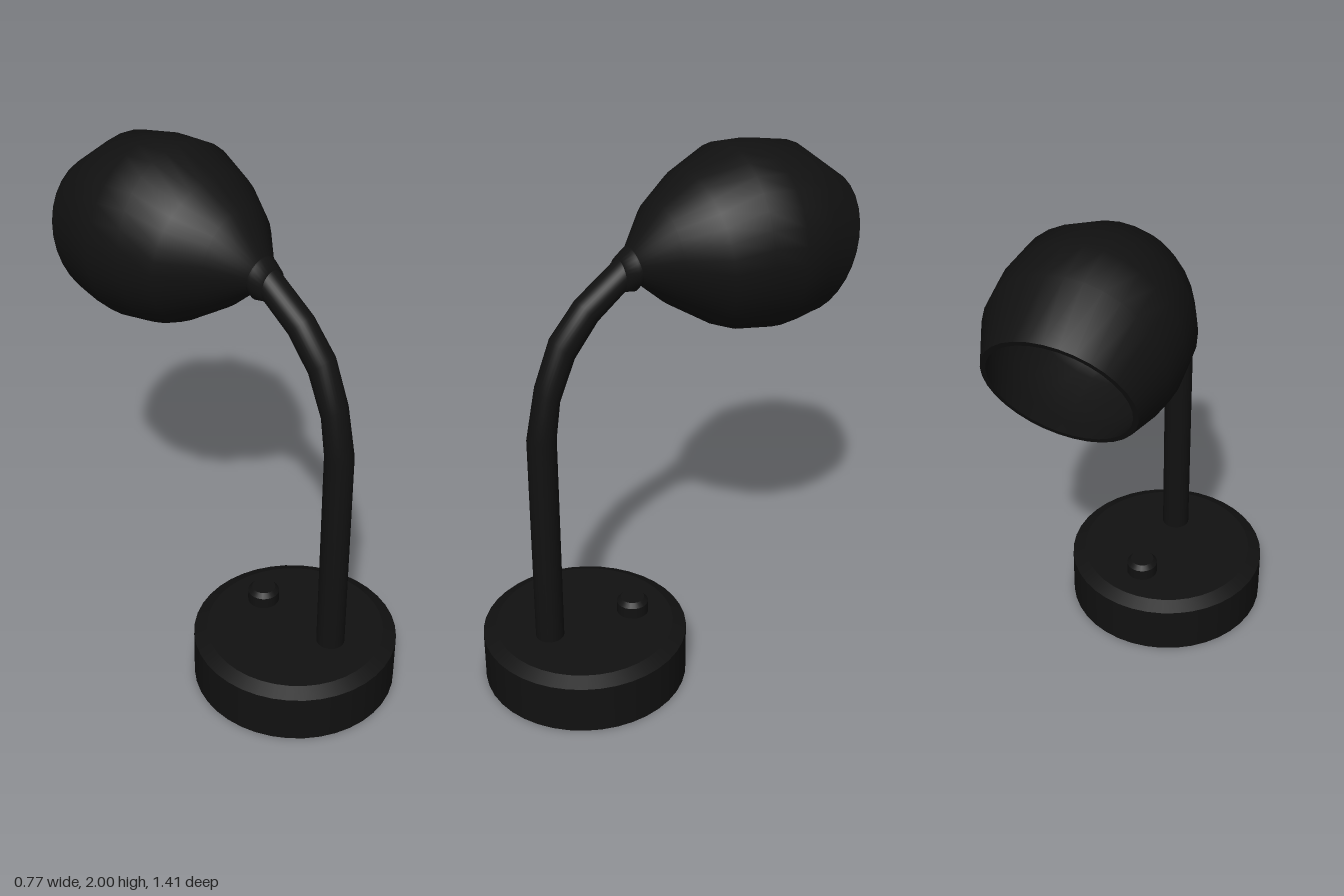
import * as THREE from 'three';

const SEG = 32;
const LAMP_X = 0.02;
const material = new THREE.MeshStandardMaterial({ color: 0x111111, side: THREE.DoubleSide });

// Skin through elliptical rings: [upper z, upper y, lower z, lower y, half width in x]
function loft(name, rings) {
  const pos = [], index = [];
  for (const [z0, y0, z1, y1, w] of rings) {
    for (let j = 0; j < SEG; j++) {
      const a = (j / SEG) * Math.PI * 2, s = Math.sin(a);
      pos.push(
        LAMP_X + Math.cos(a) * w,
        (y0 + y1) / 2 + (s * (y0 - y1)) / 2,
        (z0 + z1) / 2 + (s * (z0 - z1)) / 2
      );
    }
  }
  for (let i = 0; i < rings.length - 1; i++) {
    for (let j = 0; j < SEG; j++) {
      const k = (j + 1) % SEG;
      const a = i * SEG + j, b = i * SEG + k, c = a + SEG, d = b + SEG;
      index.push(a, c, b, b, c, d);
    }
  }
  const geo = new THREE.BufferGeometry();
  geo.setAttribute('position', new THREE.Float32BufferAttribute(pos, 3));
  geo.setIndex(index);
  geo.computeVertexNormals();
  return named(name, geo);
}

function named(name, geo) {
  const mesh = new THREE.Mesh(geo, material);
  mesh.name = name;
  return mesh;
}

// Lathe whose profile corners stay sharp (each straight run has its own points)
function turned(name, profile, x, z, segments) {
  const group = new THREE.Group();
  group.name = name;
  for (let i = 0; i < profile.length - 1; i++) {
    const run = [profile[i], profile[i + 1]].map(([r, y]) => new THREE.Vector2(r, y));
    group.add(named(name + 'Surface', new THREE.LatheGeometry(run, segments)));
  }
  group.position.set(x, 0, z);
  return group;
}

// Shrink a ring about its centre
function shrink([z0, y0, z1, y1, w], f) {
  const cz = (z0 + z1) / 2, cy = (y0 + y1) / 2;
  return [cz + (z0 - cz) * f, cy + (y0 - cy) * f, cz + (z1 - cz) * f, cy + (y1 - cy) * f, w * f];
}

export function createModel() {
  const lamp = new THREE.Group();
  lamp.name = 'deskLamp';

  // Round foot with a bevelled top edge, and its push switch
  lamp.add(turned('base', [[0, 0], [0.385, 0], [0.385, 0.19], [0.335, 0.215], [0, 0.22]], 0, 0.325, 40));
  lamp.add(turned('switchButton', [[0.06, 0.2], [0.06, 0.262], [0.045, 0.28], [0, 0.28]], 0.035, 0.138, 20));

  // Straight post bending forward to the head
  lamp.add(loft('stem', [
    [0.533, 0.2, 0.427, 0.2, 0.053],
    [0.533, 1.06, 0.427, 1.06, 0.053],
    [0.493, 1.26, 0.41, 1.2, 0.053],
    [0.43, 1.43, 0.35, 1.35, 0.053],
    [0.33, 1.55, 0.26, 1.47, 0.053],
    [0.15, 1.685, 0.14, 1.57, 0.055],
  ]));

  // Joint between stem and shade
  lamp.add(loft('collar', [
    [0.16, 1.62, 0.16, 1.62, 0],
    [0.17, 1.675, 0.165, 1.556, 0.06],
    [0.13, 1.705, 0.125, 1.55, 0.075],
    [0.06, 1.71, 0.06, 1.6, 0.06],
  ]));

  // Bulbous shade, cut at a slant by its opening
  const rings = [
    [0.115, 1.635, 0.115, 1.635, 0],
    [0.13, 1.7, 0.1, 1.57, 0.07],
    [0.02, 1.845, 0, 1.48, 0.18],
    [-0.1, 1.93, -0.16, 1.375, 0.275],
    [-0.26, 2, -0.22, 1.35, 0.325],
    [-0.38, 1.995, -0.37, 1.325, 0.335],
    [-0.53, 1.965, -0.44, 1.332, 0.32],
    [-0.705, 1.83, -0.505, 1.34, 0.265],
  ];
  const rim = rings[rings.length - 1];
  const inside = rings.slice(2).reverse().map((r) => shrink(r, 0.93));
  lamp.add(loft('shade', rings));
  lamp.add(loft('shadeRim', [rim, inside[0]]));
  lamp.add(loft('shadeLining', [...inside, [0.03, 1.66, 0.03, 1.66, 0]]));

  return lamp;
}
